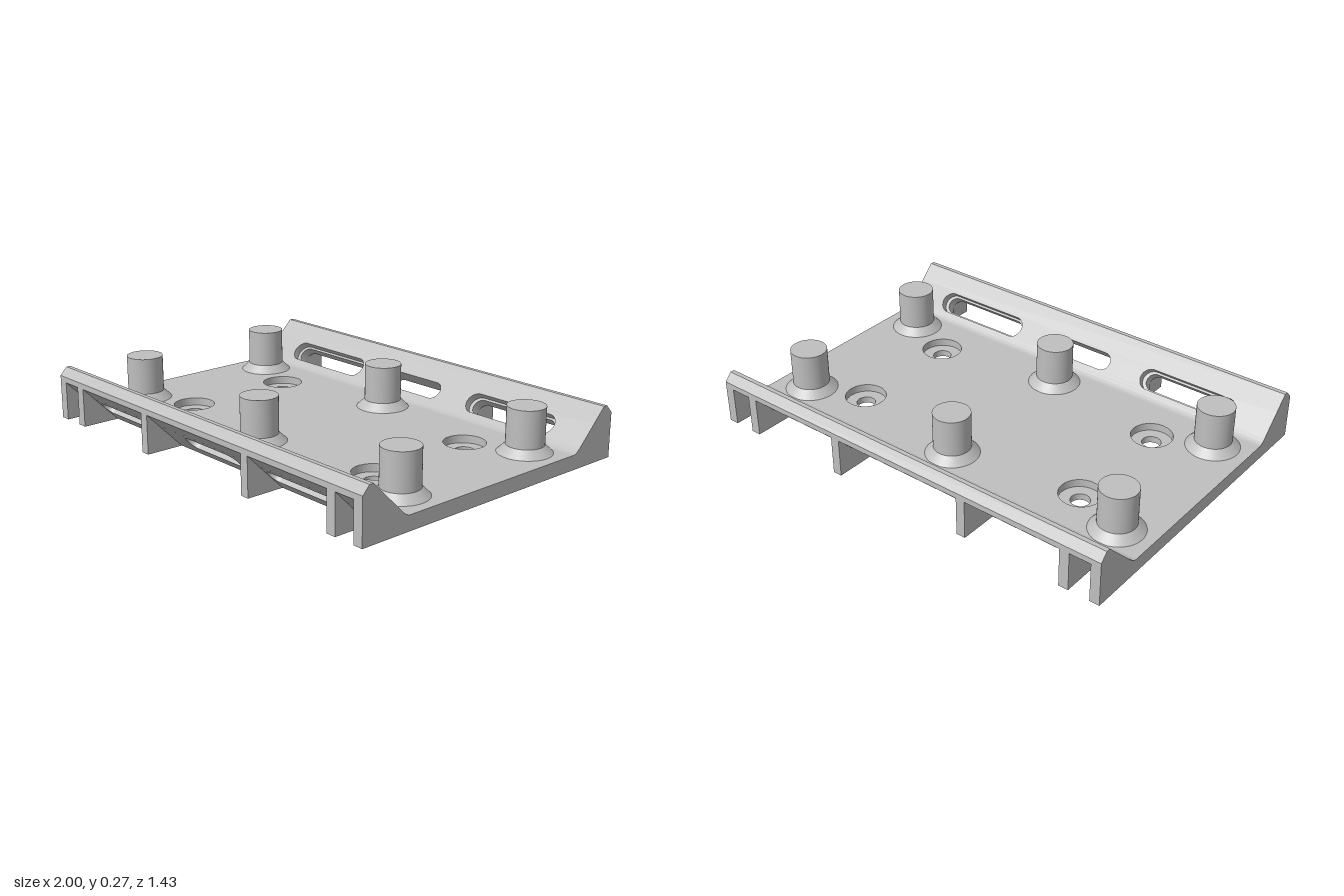
import * as THREE from 'three';

const grey = new THREE.MeshStandardMaterial({ color: 0xbfbfbf });
grey.name = 'light grey';

function add(parent, name, geometry) {
  const mesh = new THREE.Mesh(geometry, grey);
  mesh.name = name;
  parent.add(mesh);
  return mesh;
}

const extrude = (shape, depth) =>
  new THREE.ExtrudeGeometry(shape, { depth, bevelEnabled: false, curveSegments: 24 });

const polygon = (points) => new THREE.Shape(points.map(([x, y]) => new THREE.Vector2(x, y)));

const rectangle = (x, y0, y1) => polygon([[-x, y0], [x, y0], [x, y1], [-x, y1]]);

// Cross-section given as [z, y], run along x from x0 to x1
const alongX = (points, x0, x1) =>
  extrude(polygon(points), x1 - x0).rotateY(-Math.PI / 2).translate(x1, 0, 0);

// Rounded slot outline centred on (x, y)
function slot(x, y, length, width) {
  const r = width / 2, h = length / 2 - r;
  const path = new THREE.Path();
  path.absarc(x + h, y, r, -Math.PI / 2, Math.PI / 2, false);
  path.absarc(x - h, y, r, Math.PI / 2, Math.PI * 1.5, false);
  path.closePath();
  return path;
}

// One flat layer of the plate with four round holes
function plateLayer(radius, y, height) {
  const shape = rectangle(1, -0.45, 0.45);
  for (const x of [-0.593, 0.593]) for (const z of [-0.264, 0.264]) {
    const hole = new THREE.Path();
    hole.absarc(x, z, radius, 0, Math.PI * 2, true);
    shape.holes.push(hole);
  }
  return extrude(shape, height).rotateX(-Math.PI / 2).translate(0, y, 0);
}

// One layer of the sloped wall, pierced by three slots
function wallLayer(sideLength, sideWidth, start, depth) {
  const length = 0.09 * Math.SQRT2;
  const shape = rectangle(1, 0, length);
  const mid = 0.0435 * Math.SQRT2;
  shape.holes.push(slot(0, mid, 0.342, 0.084));
  for (const x of [-0.585, 0.585]) shape.holes.push(slot(x, mid, sideLength, sideWidth));
  return extrude(shape, depth).translate(0, 0, start).rotateX(Math.PI / 4).translate(0, 0.085, 0.51);
}

function rail() {
  const group = new THREE.Group();
  // Filleted foot, slotted slope and chamfered lip
  add(group, 'wallFoot', alongX([[0.45, 0], [0.538, 0], [0.5665, 0.0285], [0.51, 0.085],
    [0.498, 0.0745], [0.487, 0.068], [0.475, 0.065], [0.45, 0.065]], -1, 1));
  add(group, 'wallInnerLayer', wallLayer(0.485, 0.098, 0, 0.035));
  add(group, 'wallOuterLayer', wallLayer(0.448, 0.078, 0.035, 0.045));
  add(group, 'wallLip', alongX([[0.6, 0.175], [0.6565, 0.1185], [0.713, 0.175],
    [0.713, 0.2], [0.68, 0.235], [0.66, 0.235]], -1, 1));
  // Triangular ribs, mirrored about the middle
  for (const [a, b] of [[0.316, 0.358], [0.813, 0.858], [0.955, 1]]) {
    for (const [x0, x1] of [[a, b], [-b, -a]]) {
      add(group, 'rib', alongX([[0.538, 0], [0.713, 0], [0.713, 0.175]], x0, x1));
    }
  }
  return group;
}

export function createModel() {
  const model = new THREE.Group();
  model.name = 'mountingPlate';

  // Base plate with counterbored holes
  add(model, 'plateBottom', plateLayer(0.042, 0, 0.03));
  add(model, 'plateTop', plateLayer(0.092, 0.03, 0.035));

  // Matching rails at front and back
  const front = rail();
  front.name = 'frontRail';
  const back = rail();
  back.name = 'backRail';
  back.rotation.y = Math.PI;
  model.add(front, back);

  // Pegs on flared collars
  for (const x of [-0.836, 0, 0.836]) for (const z of [-0.361, 0.361]) {
    const peg = new THREE.Group();
    peg.name = 'peg';
    peg.position.set(x, 0.065, z);
    add(peg, 'collar', new THREE.CylinderGeometry(0.082, 0.118, 0.035, 48)).position.y = 0.0175;
    add(peg, 'post', new THREE.CylinderGeometry(0.082, 0.082, 0.165, 48)).position.y = 0.1175;
    model.add(peg);
  }
  return model;
}
